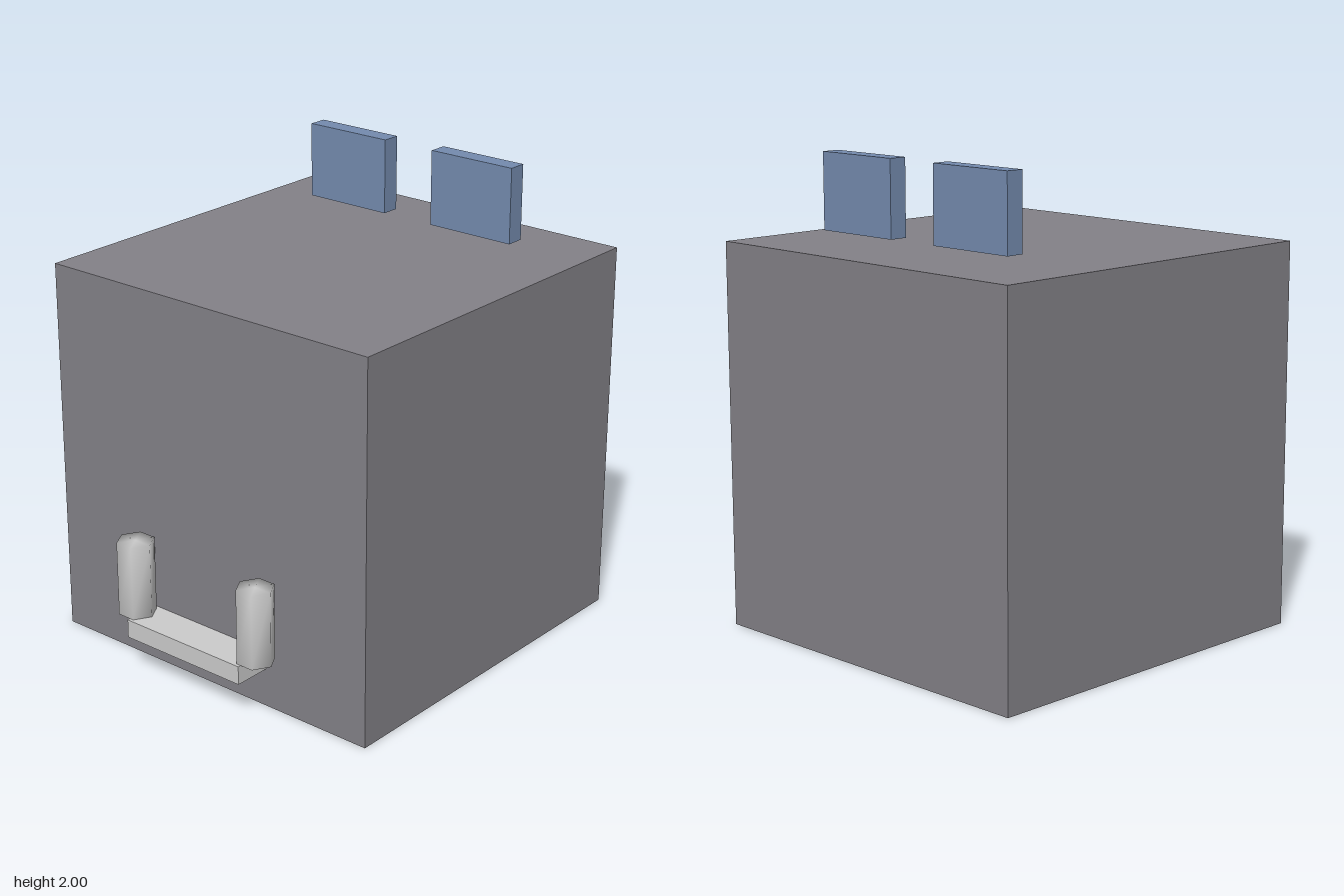
import * as THREE from 'three';
import { mergeVertices } from 'three/addons/utils/BufferGeometryUtils.js';

const bodyMat = new THREE.MeshStandardMaterial({ color: 0x838187 });
const earMat = new THREE.MeshStandardMaterial({ color: 0x748bae });
const paleMat = new THREE.MeshStandardMaterial({ color: 0xcccccc });

// Box given by its lower and upper corners
function box(name, min, max, material) {
  const size = max.map((v, i) => v - min[i]);
  const mesh = new THREE.Mesh(new THREE.BoxGeometry(...size), material);
  mesh.position.set(...max.map((v, i) => (v + min[i]) / 2));
  mesh.name = name;
  return mesh;
}

// Six-sided post with normals blended across sides and caps
function postGeometry(radius, height) {
  const raw = new THREE.CylinderGeometry(radius, radius, height, 6);
  raw.rotateY(Math.PI / 2);
  raw.deleteAttribute('normal');
  raw.deleteAttribute('uv');
  const geometry = mergeVertices(raw, 1e-4);
  geometry.computeVertexNormals();
  return geometry;
}

export function createModel() {
  const model = new THREE.Group();
  model.name = 'blockHead';

  // Main cube and the mouth ledge on its front
  model.add(box('body', [-0.815, 0, -0.898], [0.815, 1.633, 0.735], bodyMat));
  model.add(box('mouthLedge', [-0.305, 0.168, 0.72], [0.305, 0.248, 0.9], paleMat));

  // Ears floating just above the cube, and posts at the ends of the ledge
  const post = postGeometry(0.08, 0.325);
  for (const [side, s] of [['left', 1], ['right', -1]]) {
    const ear = box(`${side}Ear`, [-0.203, 1.678, -0.613], [0.203, 2, -0.533], earMat);
    ear.position.x = s * 0.326;
    const tusk = new THREE.Mesh(post, paleMat);
    tusk.name = `${side}Post`;
    tusk.position.set(s * 0.326, 0.411, 0.818);
    model.add(ear, tusk);
  }
  return model;
}
